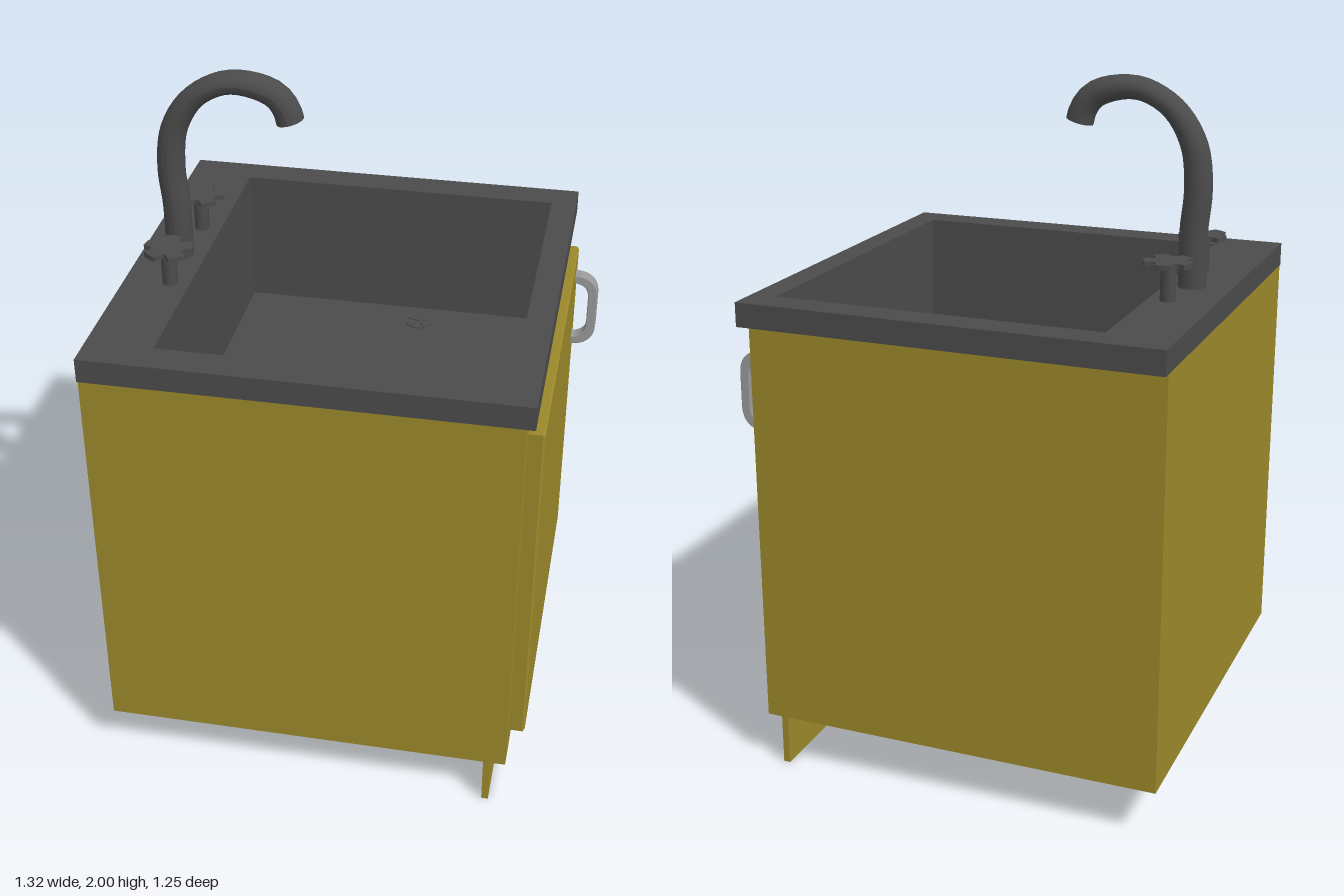
import * as THREE from 'three';

const mat = (color, opts = {}) => {
  const m = new THREE.MeshStandardMaterial({ color });
  return Object.assign(m, opts);
};
const WOOD = 0x9a882a, DARK = 0x4b4b4b, METAL = 0x999999;

function add(parent, name, geometry, material) {
  const mesh = new THREE.Mesh(geometry, material);
  mesh.name = name;
  parent.add(mesh);
  return mesh;
}

// Box given by its limits on each axis; optionally without its top face
function box([x0, x1], [y0, y1], [z0, z1], openTop = false) {
  const g = new THREE.BoxGeometry(x1 - x0, y1 - y0, z1 - z0);
  if (openTop) {
    const index = Array.from(g.index.array);
    index.splice(12, 6);
    g.setIndex(index);
    g.clearGroups();
  }
  return g.translate((x0 + x1) / 2, (y0 + y1) / 2, (z0 + z1) / 2);
}

function rectangle(path, x0, x1, z0, z1) {
  path.moveTo(x0, -z1);
  path.lineTo(x1, -z1);
  path.lineTo(x1, -z0);
  path.lineTo(x0, -z0);
  path.closePath();
  return path;
}

// Five-armed tap knob outline
function knobShape() {
  const shape = new THREE.Shape();
  const at = (deg, r) => {
    const a = THREE.MathUtils.degToRad(deg + 90);
    return [Math.cos(a) * r, Math.sin(a) * r];
  };
  shape.moveTo(...at(-20, 0.07));
  for (let i = 0; i < 5; i++) {
    const c = i * 72;
    shape.quadraticCurveTo(...at(c, 0.074), ...at(c + 20, 0.07));
    shape.quadraticCurveTo(...at(c + 36, 0.026), ...at(c + 52, 0.07));
  }
  return shape;
}

// Bent spout, slightly flattened through the bend
function spoutGeometry() {
  const curve = new THREE.CatmullRomCurve3([
    [-0.547, 1.41], [-0.547, 1.58], [-0.556, 1.7], [-0.54, 1.82], [-0.48, 1.915],
    [-0.39, 1.965], [-0.31, 1.965], [-0.245, 1.94], [-0.215, 1.9], [-0.206, 1.867],
  ].map(([x, y]) => new THREE.Vector3(x, y, 0)));
  const n = 36, sides = 20;
  const g = new THREE.TubeGeometry(curve, n, 0.04, sides);
  const pos = g.attributes.position;
  for (let i = 0; i <= n; i++) {
    const t = i / n, p = curve.getPointAt(t);
    const s = 1 - 0.2 * Math.exp(-(((t - 0.68) / 0.18) ** 2));
    for (let j = 0; j <= sides; j++) {
      const k = i * (sides + 1) + j;
      pos.setXY(k, p.x + (pos.getX(k) - p.x) * s, p.y + (pos.getY(k) - p.y) * s);
    }
  }
  g.computeVertexNormals();
  return { g, curve };
}

// D-shaped pull outline
function pullShape() {
  const s = new THREE.Shape();
  s.moveTo(0.58, 1.228);
  s.lineTo(0.6, 1.228);
  s.bezierCurveTo(0.635, 1.222, 0.655, 1.2, 0.655, 1.16);
  s.lineTo(0.655, 1.06);
  s.bezierCurveTo(0.655, 1.02, 0.635, 0.998, 0.6, 0.992);
  s.lineTo(0.58, 0.992);
  s.lineTo(0.58, 1.013);
  s.lineTo(0.595, 1.013);
  s.bezierCurveTo(0.62, 1.02, 0.632, 1.035, 0.632, 1.065);
  s.lineTo(0.632, 1.155);
  s.bezierCurveTo(0.632, 1.185, 0.62, 1.2, 0.595, 1.207);
  s.lineTo(0.58, 1.207);
  return s;
}

export function createModel() {
  const model = new THREE.Group();
  model.name = 'sinkCabinet';
  const wood = mat(WOOD), dark = mat(DARK);
  const darkOpen = mat(DARK, { side: THREE.DoubleSide });

  // Cabinet, open on top where the basin hangs in
  add(model, 'cabinet', box([-0.66, 0.54], [0.15, 1.35], [-0.6, 0.61], true),
    mat(WOOD, { side: THREE.DoubleSide }));
  add(model, 'kickBoard', box([0.475, 0.495], [0, 0.15], [-0.6, 0.61]), wood);

  // Door with a small bevel on its outer edge
  const b = 0.006;
  const doorShape = new THREE.Shape();
  rectangle(doorShape, -0.53 + b, 0.53 - b, 0.22 + b, 1.28 - b);
  const door = new THREE.ExtrudeGeometry(doorShape, {
    depth: 0.045 - b, bevelSize: b, bevelThickness: b, bevelSegments: 1,
  });
  door.rotateY(Math.PI / 2).translate(0.54, 1.5, 0.005);
  add(model, 'door', door, wood);

  // Door pull
  const pull = new THREE.ExtrudeGeometry(pullShape(), {
    depth: 0.036, bevelSize: 0.003, bevelThickness: 0.004, bevelSegments: 2, curveSegments: 10,
  });
  add(model, 'doorPull', pull.translate(0, 0, -0.461), mat(METAL));

  // Countertop with basin cut-out
  const top = rectangle(new THREE.Shape(), -0.66, 0.565, -0.625, 0.62);
  top.holes.push(rectangle(new THREE.Path(), -0.47, 0.49, -0.53, 0.525));
  const counter = new THREE.ExtrudeGeometry(top, { depth: 0.07, bevelEnabled: false });
  add(model, 'countertop', counter.rotateX(-Math.PI / 2).translate(0, 1.35, 0), dark);
  add(model, 'basin', box([-0.47, 0.49], [1.0, 1.35], [-0.53, 0.525], true), darkOpen);

  // Drain: rim, plate and spokes
  const drain = new THREE.Group();
  drain.name = 'drain';
  drain.position.set(0.095, 1.0, -0.442);
  model.add(drain);
  add(drain, 'drainPlate', new THREE.CylinderGeometry(0.042, 0.042, 0.004, 24), dark)
    .position.y = 0.002;
  for (let i = 0; i < 5; i++) {
    const spoke = add(drain, 'drainSpoke',
      new THREE.BoxGeometry(0.036, 0.003, 0.004).translate(0.02, 0.005, 0), dark);
    spoke.rotation.y = (i * 2 * Math.PI) / 5 + 0.3;
  }

  // Spout with closed outlet
  const { g, curve } = spoutGeometry();
  add(model, 'spout', g, darkOpen);
  const outlet = add(model, 'spoutOutlet', new THREE.CircleGeometry(0.039, 20), darkOpen);
  outlet.position.copy(curve.getPointAt(1));
  outlet.lookAt(outlet.position.clone().add(curve.getTangentAt(1)));

  // Hot and cold taps
  for (const side of [-1, 1]) {
    const tap = new THREE.Group();
    tap.name = side > 0 ? 'frontTap' : 'backTap';
    tap.position.set(-0.527, 1.42, side * 0.171);
    model.add(tap);
    add(tap, 'tapStem', new THREE.CylinderGeometry(0.022, 0.022, 0.105, 16), dark)
      .position.y = 0.0525;
    const knob = new THREE.ExtrudeGeometry(knobShape(), {
      depth: 0.014, bevelEnabled: false, curveSegments: 6,
    });
    add(tap, 'tapKnob', knob.rotateX(-Math.PI / 2).translate(0, 0.1, 0), dark);
  }
  return model;
}
